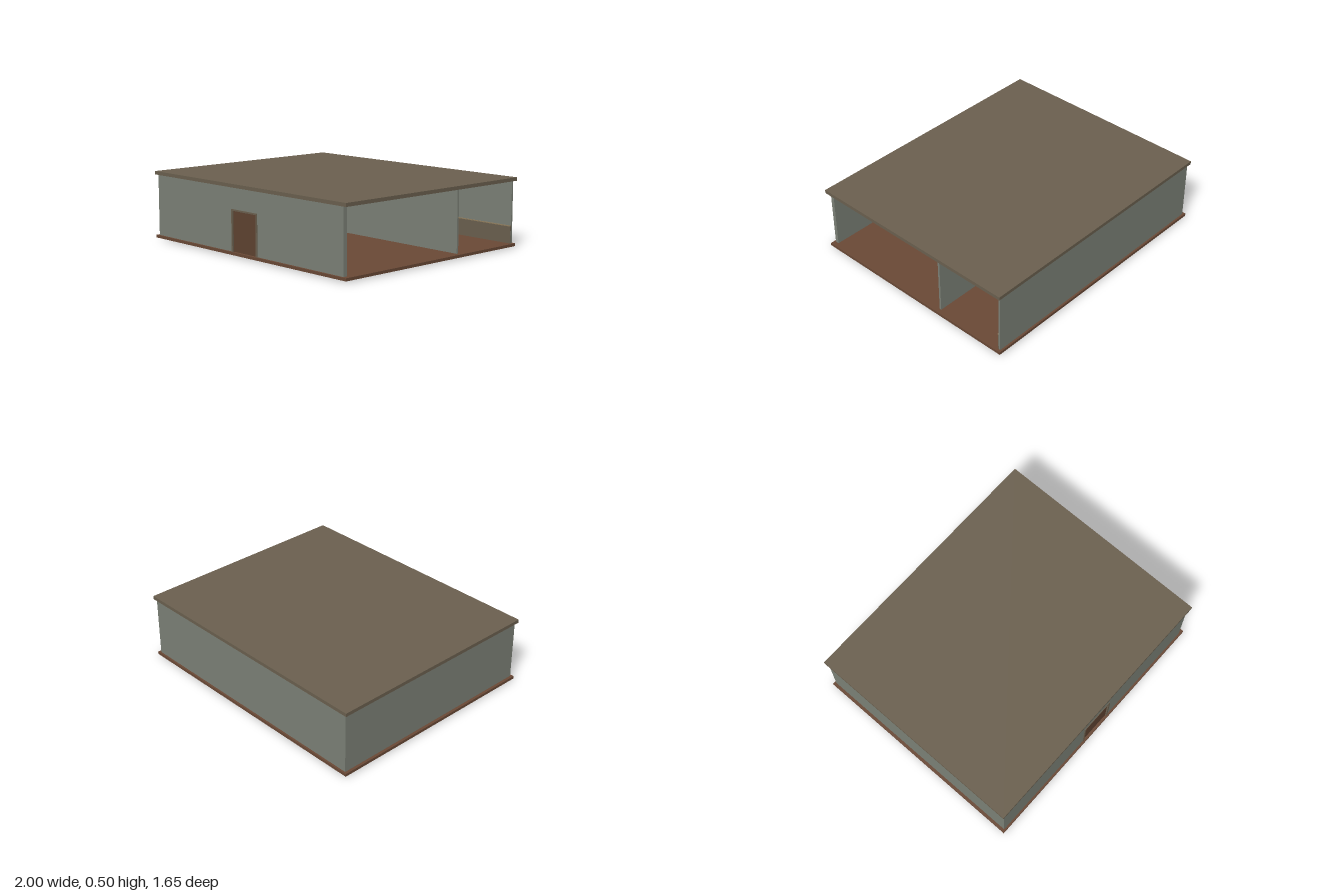
import * as THREE from 'three';

const mat = (name, color, extra = {}) => {
  const m = new THREE.MeshStandardMaterial({ color, ...extra });
  m.name = name;
  return m;
};

export function createModel() {
  const group = new THREE.Group();
  group.name = 'openSidedBuilding';
  const wall = mat('greyGreenWall', 0x7c8177);
  const roofing = mat('oliveBrownRoof', 0x6b604f);
  const floorWood = mat('redBrownFloor', 0x6a4936);
  const doorWood = mat('doorBrown', 0x5f4331);
  const trim = mat('paleWood', 0x8d7a5c);
  const metal = mat('blueGreyMetal', 0x50545f, { flatShading: true });
  const rugCloth = mat('darkRug', 0x4a3530);
  const lampGlass = mat('lampGlass', 0xb5a57c);

  const add = (name, geo, material, x, y, z, parent = group) => {
    const m = new THREE.Mesh(geo, material);
    m.name = name;
    m.position.set(x, y, z);
    parent.add(m);
    return m;
  };
  // box given by its minimum and maximum on each axis
  const box = (name, material, [x0, x1], [y0, y1], [z0, z1], parent) =>
    add(name, new THREE.BoxGeometry(x1 - x0, y1 - y0, z1 - z0), material,
      (x0 + x1) / 2, (y0 + y1) / 2, (z0 + z1) / 2, parent);

  // floor and roof slabs
  box('floor', floorWood, [-1, 1], [0.01, 0.03], [-0.827, 0.827]);
  box('roof', roofing, [-1, 1], [0.475, 0.5], [-0.827, 0.827]);

  // walls, with the +x side left open
  const H = [0.03, 0.475];
  box('sideWall', wall, [-0.98, -0.965], H, [-0.813, 0.813]);
  box('backWall', wall, [-0.98, 0.98], H, [-0.813, -0.8]);
  box('partitionWall', wall, [-0.965, 0.965], H, [-0.258, -0.243]);
  const F = [0.785, 0.813];
  box('frontWallRight', wall, [-0.965, -0.13], H, F);
  box('frontWallLeft', wall, [0.13, 0.965], H, F);
  box('frontWallLintel', wall, [-0.13, 0.13], [0.322, 0.475], F);

  // panelling on the inside of the outer walls
  const P = [0.03, 0.153];
  box('sidePanelling', roofing, [-0.965, -0.957], P, [-0.8, 0.785]);
  box('sidePanelCap', trim, [-0.965, -0.952], [0.151, 0.157], [-0.8, 0.785]);
  box('backPanelling', roofing, [-0.965, 0.979], P, [-0.8, -0.792]);
  box('backPanelCap', trim, [-0.965, 0.979], [0.151, 0.157], [-0.8, -0.788]);

  // entrance door
  box('door', doorWood, [-0.123, 0.123], [0.03, 0.315], [0.788, 0.808]);
  for (const s of [-1, 1]) {
    box('doorJamb', roofing, s < 0 ? [-0.135, -0.122] : [0.122, 0.135], [0.03, 0.325], [0.77, 0.818]);
  }
  box('doorHead', roofing, [-0.135, 0.135], [0.314, 0.325], [0.77, 0.818]);

  // shallow ceiling beams
  for (let i = -2; i <= 2; i++) {
    const z = 0.025 + i * 0.32;
    box('ceilingBeam', trim, [-0.92, 0.92], [0.472, 0.476], [z - 0.025, z + 0.025]);
  }

  // inner window frames on the side wall
  for (const z of [0.352, -0.285]) {
    const win = new THREE.Group();
    win.name = 'windowFrame';
    group.add(win);
    box('windowPane', wall, [-0.965, -0.958], [0.172, 0.312], [z - 0.077, z + 0.077], win);
    box('windowHead', roofing, [-0.965, -0.945], [0.31, 0.316], [z - 0.092, z + 0.092], win);
    box('windowSill', roofing, [-0.965, -0.945], [0.168, 0.174], [z - 0.092, z + 0.092], win);
    box('windowMullion', trim, [-0.965, -0.95], [0.174, 0.31], [z - 0.004, z + 0.004], win);
  }

  // tables with two stools each
  for (const z of [0.663, -0.39]) {
    const set = new THREE.Group();
    set.name = 'tableAndStools';
    set.position.set(-0.5, 0, z);
    group.add(set);
    box('tableTop', floorWood, [-0.12, 0.12], [0.112, 0.124], [-0.08, 0.08], set);
    for (const s of [-1, 1]) {
      for (const t of [-1, 1]) {
        add('tableLeg', new THREE.BoxGeometry(0.01, 0.082, 0.01), floorWood, s * 0.105, 0.071, t * 0.068, set);
      }
      add('stool', new THREE.CylinderGeometry(0.022, 0.022, 0.052, 8), doorWood, 0, 0.056, s * 0.102, set);
    }
  }

  // hanging lamps above rugs
  for (const z of [0.272, -0.526]) {
    add('lampCord', new THREE.CylinderGeometry(0.002, 0.002, 0.07, 6), metal, 0, 0.415, z);
    add('lampBulb', new THREE.SphereGeometry(0.009, 10, 8), lampGlass, 0, 0.373, z);
    box('rug', rugCloth, [-0.16, 0.16], [0.03, 0.034], [z - 0.102, z + 0.102]);
  }

  // eight-sided tanks
  for (const z of [-0.147, -0.695]) {
    add('tank', new THREE.CylinderGeometry(0.053, 0.053, 0.2, 8), metal, -0.4, 0.13, z);
  }

  // metal console with a raised back box
  box('consoleBase', metal, [-0.47, -0.33], [0, 0.118], [-0.045, 0.022]);
  box('consoleBack', metal, [-0.46, -0.34], [0.125, 0.195], [-0.092, -0.038]);
  const lid = box('consoleLid', metal, [-0.46, -0.34], [0.12, 0.126], [-0.09, 0]);
  lid.rotation.x = -0.12;

  return group;
}
